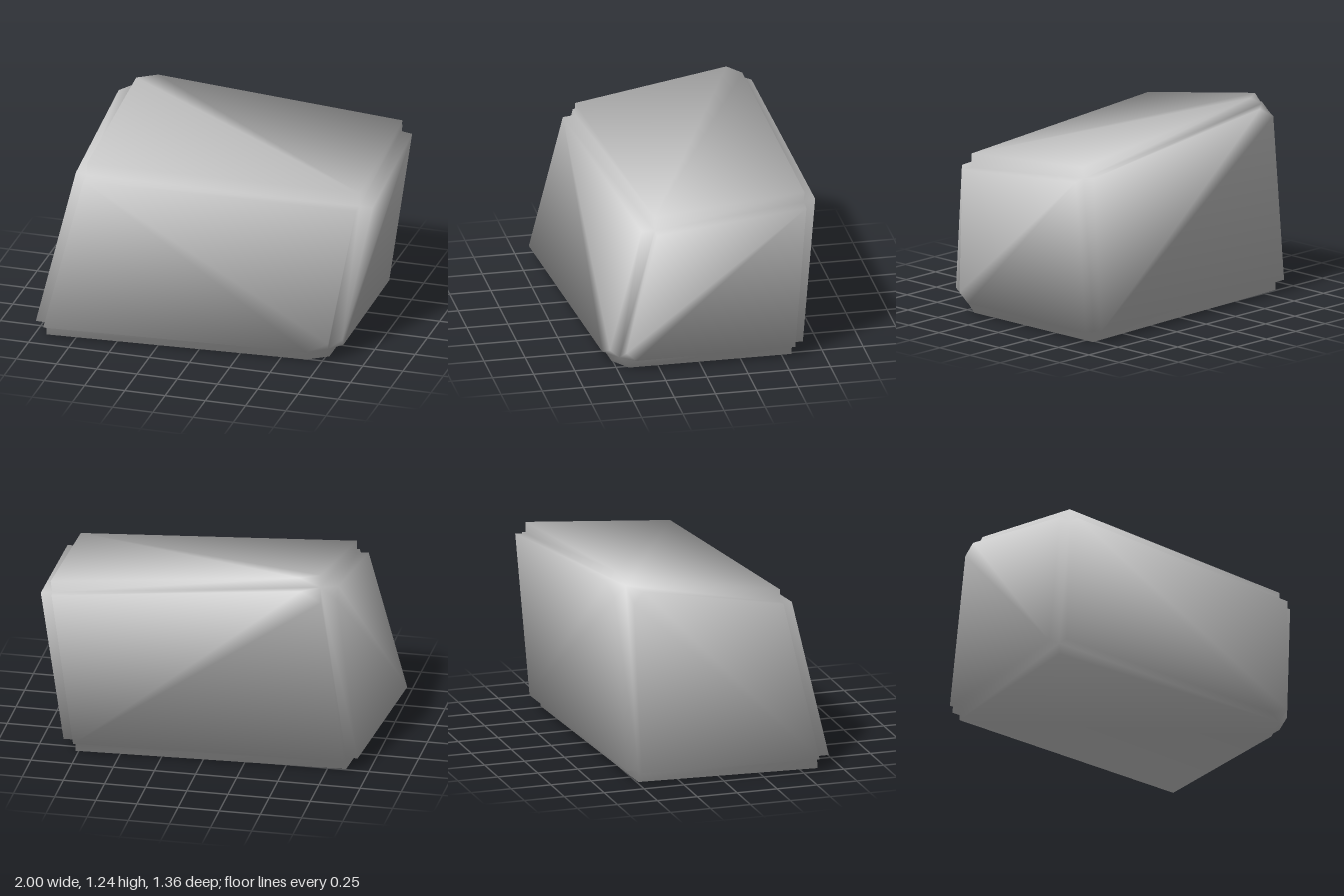
import * as THREE from 'three';

// Six panels, counter-clockwise from outside. Each starts at its fan corner; its third corner is chopped.
// A corner is keyed by its signs on x, y and z.
const panels = [
  { '-++': [-0.73, 0.985, 0.515], '--+': [-0.93, 0.075, 0.68], '+-+': [0.79, 0.075, 0.56], '+++': [0.92, 0.945, 0.38] }, // front
  { '++-': [0.97, 1.03, -0.61], '+++': [1.0, 0.945, 0.3], '+-+': [0.85, 0.075, 0.47], '+--': [0.84, 0.075, -0.57] }, // left side
  { '---': [-0.86, 0, -0.49], '+--': [0.77, 0, -0.56], '+-+': [0.77, 0, 0.5], '--+': [-0.93, 0, 0.61] }, // bottom
  { '+++': [0.92, 1.03, 0.3], '++-': [0.91, 1.11, -0.61], '-+-': [-0.7, 1.25, -0.54], '-++': [-0.73, 1.07, 0.44] }, // top
  { '--+': [-1.0, 0.075, 0.6], '-++': [-0.8, 1.0, 0.44], '-+-': [-0.8, 1.17, -0.5], '---': [-0.93, 0.075, -0.49] }, // right side
  { '+--': [0.77, 0.075, -0.63], '---': [-0.86, 0.075, -0.56], '-+-': [-0.72, 1.19, -0.6], '++-': [0.89, 1.05, -0.68] }, // back
];
const panelAxis = [2, 0, 1, 1, 0, 2];

// Smooth normals weighted by the angle of each triangle at the vertex
function smoothNormals(points, index) {
  const normals = points.map(() => new THREE.Vector3());
  for (let i = 0; i < index.length; i += 3) {
    for (let k = 0; k < 3; k++) {
      const [a, b, c] = [0, 1, 2].map((n) => index[i + ((k + n) % 3)]);
      const u = points[b].clone().sub(points[a]);
      const v = points[c].clone().sub(points[a]);
      const angle = u.angleTo(v);
      normals[a].addScaledVector(u.cross(v).normalize(), angle);
    }
  }
  return normals.map((n) => n.normalize());
}

function blockGeometry() {
  const points = [];
  const index = [];
  const add = (p) => points.push(p) - 1;

  // Inner groove corners: each coordinate is the mean of the two panels that do not face that axis
  const inner = {};
  for (const key of ['+++', '++-', '+-+', '+--', '-++', '-+-', '--+', '---']) {
    const sum = [0, 0, 0];
    panels.forEach((panel, f) => {
      if (!panel[key]) return;
      for (let a = 0; a < 3; a++) if (a !== panelAxis[f]) sum[a] += panel[key][a] / 2;
    });
    inner[key] = add(new THREE.Vector3(...sum));
  }

  for (const panel of panels) {
    const keys = Object.keys(panel);
    const p = keys.map((k) => new THREE.Vector3(...panel[k]));
    const chop = 0.07;
    const rim = [p[0], p[1], p[2].clone().lerp(p[1], chop), p[2].clone().lerp(p[3], chop), p[3]].map(add);
    const deep = [0, 1, 2, 2, 3].map((n) => inner[keys[n]]);

    // Panel surface
    for (let i = 1; i < 4; i++) index.push(rim[0], rim[i], rim[i + 1]);

    // Groove walls from the rim down to the inner corners
    for (let i = 0; i < 5; i++) {
      const j = (i + 1) % 5;
      index.push(rim[j], rim[i], deep[i]);
      if (deep[i] !== deep[j]) index.push(rim[j], deep[i], deep[j]);
    }
  }

  const geometry = new THREE.BufferGeometry().setFromPoints(points);
  const normals = smoothNormals(points, index).flatMap((n) => n.toArray());
  geometry.setAttribute('normal', new THREE.Float32BufferAttribute(normals, 3));
  geometry.setIndex(index);
  return geometry;
}

export function createModel() {
  const stone = new THREE.MeshStandardMaterial({ color: 0xcccccc });
  stone.name = 'lightGreyStone';

  const block = new THREE.Mesh(blockGeometry(), stone);
  block.name = 'stoneBlock';

  const model = new THREE.Group();
  model.name = 'groovedStone';
  model.add(block);
  return model;
}
